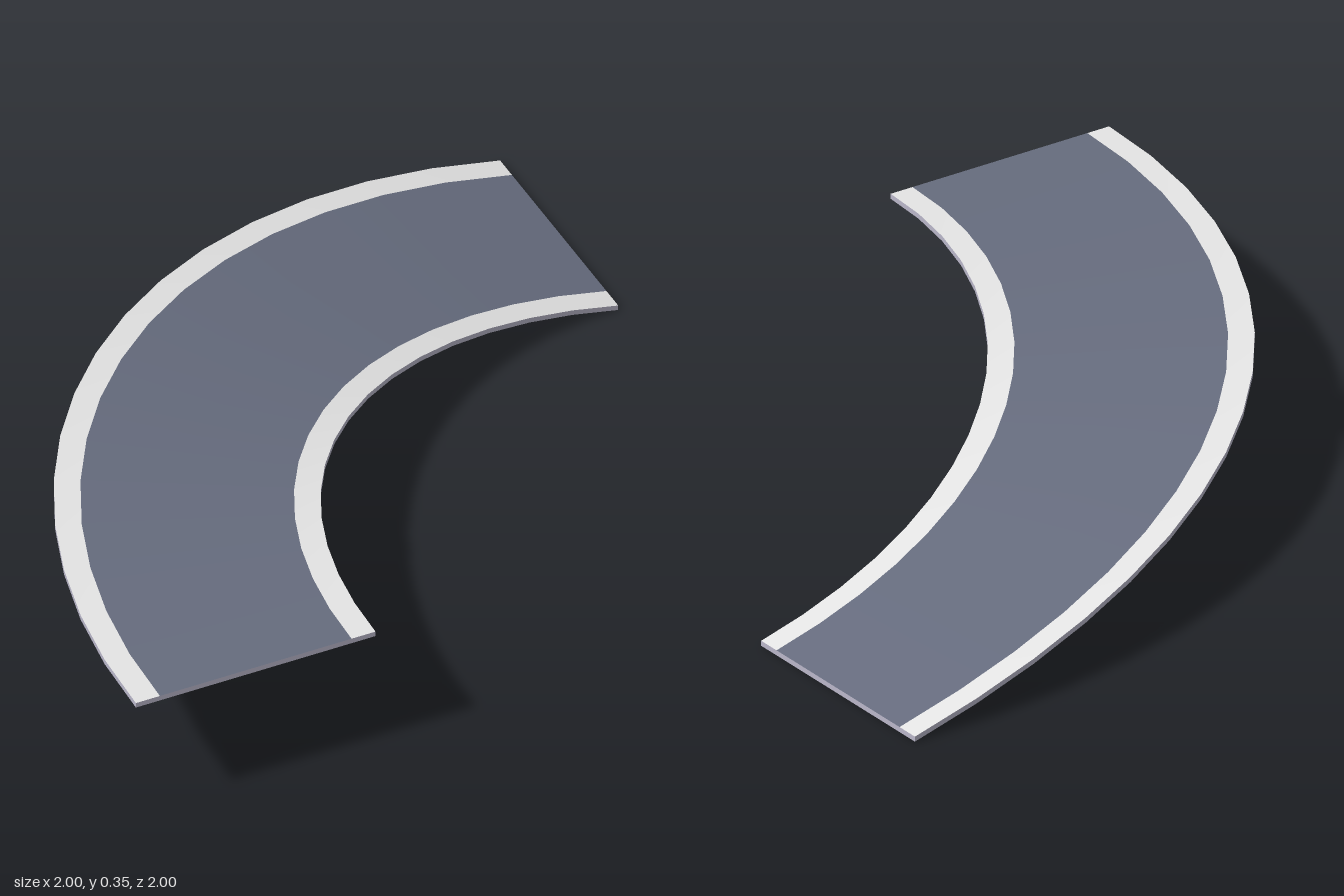
import * as THREE from 'three';

const INNER = 1.333, OUTER = 2, RISE = 0.335, STEPS = 16, TOP = 0.014;
const END = Math.PI / 2;

const mat = (name, color) => {
  const m = new THREE.MeshStandardMaterial({ color });
  m.name = name;
  return m;
};

// Point on the banked quarter turn: f = 0 inner edge, 1 outer edge; t = 0 at the high end
function rampPoint([f, dy], t) {
  const r = INNER + (OUTER - INNER) * f;
  const c = Math.cos(t);
  const innerY = RISE * c;
  const outerY = RISE * (1.5 * c - 0.5 * c * c);
  return [1 - r * c, innerY + (outerY - innerY) * f + dy, 1 - r * Math.sin(t)];
}

// Skin a list of two-point rows with quads
function surface(name, rows, material) {
  const index = [];
  for (let i = 0; i < rows.length - 1; i++) {
    const a = 2 * i;
    index.push(a, a + 1, a + 3, a, a + 3, a + 2);
  }
  const geo = new THREE.BufferGeometry();
  geo.setAttribute('position', new THREE.Float32BufferAttribute(rows.flat(2), 3));
  geo.setIndex(index);
  geo.computeVertexNormals();
  const mesh = new THREE.Mesh(geo, material);
  mesh.name = name;
  return mesh;
}

// Strip between section points p and q, carried along the whole turn
function strip(name, p, q, material) {
  const rows = [];
  for (let i = 0; i <= STEPS; i++) {
    const t = (i / STEPS) * END;
    rows.push([rampPoint(p, t), rampPoint(q, t)]);
  }
  return surface(name, rows, material);
}

// End face at angle t, its rows running from edge f0 to edge f1
function endFace(name, f0, f1, t, material) {
  const rows = [0, TOP].map((y) => [rampPoint([f0, y], t), rampPoint([f1, y], t)]);
  return surface(name, rows, material);
}

export function createModel() {
  const group = new THREE.Group();
  group.name = 'curvedRamp';
  const slab = mat('slab lavender grey', 0xbab7ca);
  const asphalt = mat('asphalt', 0x666c7e);
  const border = mat('border grey', 0xe5e5e5);

  // Top: road surface between two borders
  group.add(strip('innerBorder', [0.1, TOP], [0, TOP], border));
  group.add(strip('roadSurface', [0.9, TOP], [0.1, TOP], asphalt));
  group.add(strip('outerBorder', [1, TOP], [0.9, TOP], border));

  // Slab: underside, edges and end faces
  group.add(strip('underside', [0, 0], [1, 0], slab));
  group.add(strip('innerEdge', [0, TOP], [0, 0], slab));
  group.add(strip('outerEdge', [1, 0], [1, TOP], slab));
  group.add(endFace('highEnd', 1, 0, 0, slab));
  group.add(endFace('lowEnd', 0, 1, END, slab));
  return group;
}
